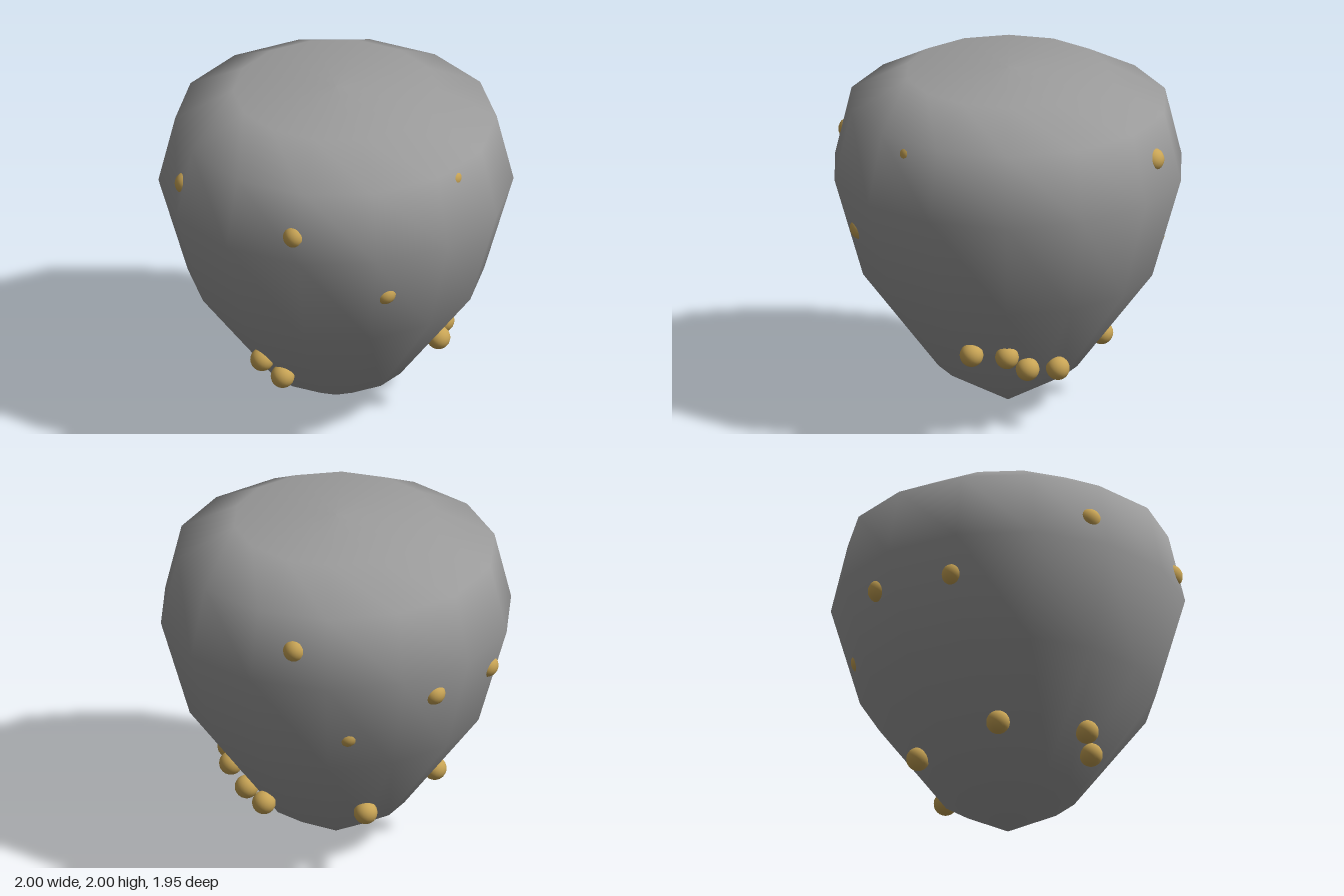
import * as THREE from 'three';

const SIDES = 14;
const SEED_RADIUS = 0.067;

// Body outline as [radius, height], from the bottom tip to the crown
const PROFILE = [[0, 0], [0.4, 0.235], [0.835, 0.82], [1, 1.4], [0.905, 1.8], [0.58, 1.975], [0, 2]];

// Seeds set into the upper body: [x, z, y, radius of the exposed cap]
const SUNK_SEEDS = [
  [-0.25, 0.92, 1.535, 0.056],
  [0.28, 0.87, 1.13, 0.049],
  [-0.89, 0.35, 1.565, 0.054],
  [0.69, 0.59, 1.72, 0.025],
  [0.39, -0.85, 1.59, 0.059],
  [-0.44, -0.83, 1.24, 0.06],
  [-0.82, -0.45, 1.2, 0.057],
  [0.08, -0.87, 1.025, 0.038],
];

// Seeds standing proud around the lower taper: [x, z, y]
const PROUD_SEEDS = [
  [0.575, 0.2, 0.483],
  [0.6, 0, 0.48],
  [0.53, -0.115, 0.383],
  [0.46, -0.285, 0.363],
  [-0.08, -0.525, 0.375],
  [-0.54, -0.14, 0.42],
  [-0.42, 0.385, 0.452],
  [-0.305, 0.425, 0.365],
];

// Distance from the axis to the faceted skin at a height and angle
function skinRadius(y, angle) {
  const i = PROFILE.findIndex((p) => p[1] >= y);
  const [r0, y0] = PROFILE[i - 1];
  const [r1, y1] = PROFILE[i];
  const corner = r0 + (r1 - r0) * (y - y0) / (y1 - y0);
  const step = 2 * Math.PI / SIDES;
  const offset = ((angle % step) + step) % step - step / 2;
  return corner * Math.cos(step / 2) / Math.cos(offset);
}

export function createModel() {
  const model = new THREE.Group();
  const bodyGrey = new THREE.MeshStandardMaterial({ color: 0x9c9c9c });
  bodyGrey.name = 'bodyGrey';
  const seedGold = new THREE.MeshStandardMaterial({ color: 0xc8a455 });
  seedGold.name = 'seedGold';

  // Faceted, smooth-shaded body with a corner on the x axis
  const points = PROFILE.map(([r, y]) => new THREE.Vector2(r, y));
  const body = new THREE.Mesh(new THREE.LatheGeometry(points, SIDES, Math.PI / 2), bodyGrey);
  body.name = 'body';
  model.add(body);

  // Small round seeds
  const seeds = new THREE.Group();
  seeds.name = 'seeds';
  model.add(seeds);
  const seedGeometry = new THREE.SphereGeometry(SEED_RADIUS, 20, 14);
  const addSeed = (x, y, z) => {
    const seed = new THREE.Mesh(seedGeometry, seedGold);
    seed.name = 'seed';
    seed.position.set(x, y, z);
    seeds.add(seed);
  };
  for (const [x, z, y, cap] of SUNK_SEEDS) {
    const angle = Math.atan2(z, x);
    const r = skinRadius(y, angle) - Math.sqrt(SEED_RADIUS ** 2 - cap ** 2);
    addSeed(r * Math.cos(angle), y, r * Math.sin(angle));
  }
  for (const [x, z, y] of PROUD_SEEDS) addSeed(x, y, z);

  return model;
}
